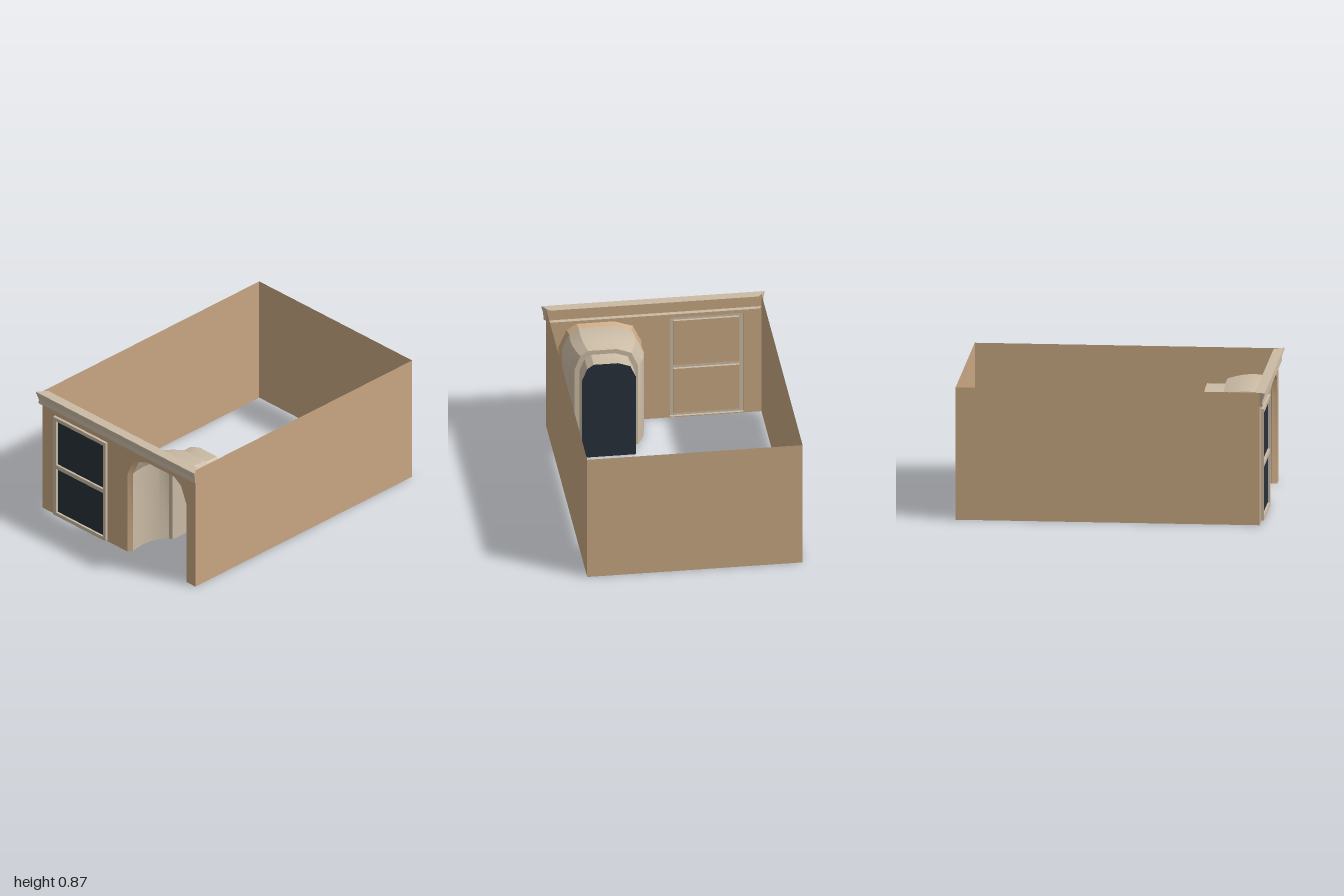
import * as THREE from 'three';
import { toCreasedNormals } from 'three/addons/utils/BufferGeometryUtils.js';

const paint = (color) => new THREE.MeshStandardMaterial({ color, side: THREE.DoubleSide });
const tan = paint(0xc9a883), beige = paint(0xcbbba5), glass = paint(0x28303a);

const WALL_Z = 0.965, TRIM_Z = 0.983, H = 0.872, W = 0.7;

// Surface stretched over a list of cross-sections with equal point counts
function loft(sections, closed = false) {
  const n = sections[0].length, pos = [], idx = [];
  sections.forEach((s) => s.forEach((p) => pos.push(...p)));
  for (let i = 0; i < sections.length - 1; i++) {
    for (let j = 0; j < (closed ? n : n - 1); j++) {
      const a = i * n + j, b = i * n + (j + 1) % n;
      idx.push(a, b, a + n, b, b + n, a + n);
    }
  }
  const g = new THREE.BufferGeometry();
  g.setAttribute('position', new THREE.Float32BufferAttribute(pos, 3));
  g.setIndex(idx);
  return toCreasedNormals(g, 0.4);
}

// Faceted arch outline standing on the floor
function arch(x0, x1, top, spring = 0.58) {
  const c = (x0 + x1) / 2, h = (x1 - x0) / 2;
  const y = spring + (top - spring) * 0.74;
  return [[-1, 0], [-1, spring], [-0.785, y], [-0.33, top], [0.57, top], [0.81, y], [1, spring], [1, 0]]
    .map(([u, v]) => [c + u * h, v]);
}
const rect = (x0, x1, y0, y1) => [[x0, y0], [x1, y0], [x1, y1], [x0, y1]];
const at = (pts, z) => pts.map(([x, y]) => [x, y, z]);
const vec = (pts) => pts.map(([x, y]) => new THREE.Vector2(x, y));

// Flat panel facing +z, with optional holes
function panel(outline, holes, z) {
  const s = new THREE.Shape(vec(outline));
  holes.forEach((h) => s.holes.push(new THREE.Path(vec(h))));
  return new THREE.ShapeGeometry(s).translate(0, 0, z);
}

export function createModel() {
  const model = new THREE.Group();
  const add = (parent, name, geometry, material) => {
    const m = new THREE.Mesh(geometry, material);
    m.name = name;
    parent.add(m);
    return m;
  };
  const group = (name) => {
    const g = new THREE.Group();
    g.name = name;
    model.add(g);
    return g;
  };

  const opening = arch(0.078, 0.619, 0.743);
  const frameEdge = rect(-0.584, -0.105, 0.006, 0.74);
  const panes = [rect(-0.556, -0.128, 0.031, 0.358), rect(-0.556, -0.128, 0.387, 0.714)];

  // Walls: sides and back in one sheet, front sheet cut around the doorway
  const plan = [[W, WALL_Z], [W, -1], [-W, -1], [-W, WALL_Z]];
  add(model, 'sideAndBackWalls',
    loft([plan.map(([x, z]) => [x, 0, z]), plan.map(([x, z]) => [x, H, z])]), tan);
  const front = [[-W, 0], ...opening, [W, 0], [W, H], [-W, H]];
  add(model, 'frontWall', panel(front, [frameEdge], WALL_Z), tan);

  // Window: raised hollow frame around two panes
  const win = group('window');
  add(win, 'frameFace', panel(frameEdge, panes, TRIM_Z), beige);
  add(win, 'frameEdge', loft([at(frameEdge, WALL_Z), at(frameEdge, TRIM_Z)], true), beige);
  panes.forEach((p) => {
    add(win, 'paneReveal', loft([at(p, WALL_Z), at(p, TRIM_Z)], true), beige);
    add(win, 'pane', panel(p, [], WALL_Z + 0.003), glass);
    add(win, 'paneBacking', panel(p, [], WALL_Z), tan);
  });

  // Doorway: tan chamfer, bulging niche, flat surround, inner passage and door
  const door = group('doorway');
  const throat = arch(0.097, 0.602, 0.728);
  add(door, 'openingChamfer', loft([at(opening, WALL_Z), at(throat, 0.932)]), tan);
  const bulge = [
    [0.097, 0.602, 0.728, 0.932], [0.088, 0.608, 0.738, 0.88], [0.084, 0.611, 0.743, 0.825],
    [0.093, 0.604, 0.739, 0.765], [0.113, 0.587, 0.73, 0.71], [0.143, 0.559, 0.716, 0.655],
  ];
  add(door, 'niche', loft(bulge.map(([a, b, t, z]) => at(arch(a, b, t), z))), beige);
  const inner = arch(0.175, 0.525, 0.686, 0.576);
  add(door, 'doorSurround', loft([at(arch(0.143, 0.559, 0.716), 0.655), at(inner, 0.655)]), beige);
  add(door, 'passage', loft([at(inner, 0.655), at(inner, 0.525)]), beige);
  add(door, 'doorPanel', panel(inner, [], 0.525), glass);

  // Cornice: stepped profile (z, y) run along the front with slanted ends
  const cornice = group('cornice');
  const profile = [
    [0.935, H], [1, H], [1, 0.858], [0.995, 0.855], [0.992, 0.838], [0.988, 0.835],
    [0.986, 0.814], [0.982, 0.811], [0.985, 0.8], [0.985, 0.788], [0.982, 0.782], [0.935, 0.782],
  ];
  const endX = (z) => 0.68 + (z - 0.935) * 0.7;
  const run = [-1, 1].map((s) => profile.map(([z, y]) => [s * endX(z), y, z]));
  add(cornice, 'moulding', loft(run), beige);
  const tips = profile.map(([z, y]) => [Math.max(z, WALL_Z), y]);
  [-1, 1].forEach((s) => add(cornice, 'endCap', loft([
    tips.map(([z, y]) => [s * endX(z), y, z]),
    tips.map(([, y]) => [s * endX(WALL_Z), y, WALL_Z]),
  ]), beige));

  return model;
}
